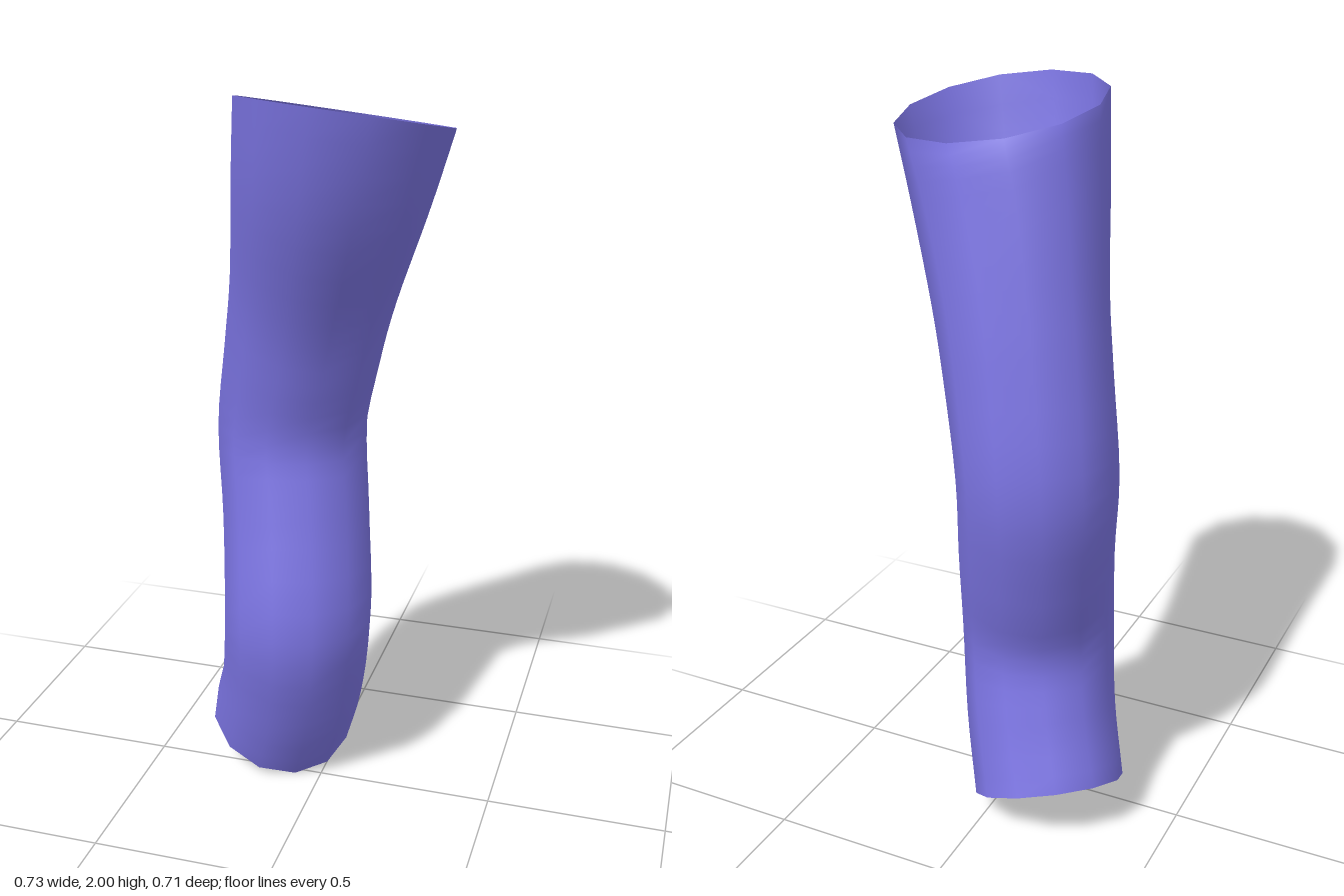
import * as THREE from 'three';

// Stations from bottom to top: centre, tilt of the ring normal (x, z slopes), radius
const STATIONS = [
  { c: [-0.165, 0.10, -0.14], tilt: [0.35, 0.41], r: 0.21 },
  { c: [-0.105, 0.30, -0.068], tilt: [0.22, 0.28], r: 0.21 },
  { c: [-0.072, 0.53, -0.018], tilt: [0.02, 0.02], r: 0.212 },
  { c: [-0.098, 0.80, -0.09], tilt: [-0.11, -0.25], r: 0.21 },
  { c: [-0.123, 1.05, -0.143], tilt: [0.03, 0.0], r: 0.212 },
  { c: [-0.08, 1.30, -0.105], tilt: [0.19, 0.26], r: 0.217 },
  { c: [-0.033, 1.50, -0.055], tilt: [0.26, 0.32], r: 0.227 },
  { c: [0.035, 1.75, 0.03], tilt: [0.22, 0.15], r: 0.255 },
  { c: [0.087, 1.945, 0.085], tilt: [0.10, -0.17], r: 0.277 },
];
const SIDES = 12;
const RINGS = 32;

// Smooth curve through one vector per station
const through = (pick) =>
  new THREE.CatmullRomCurve3(STATIONS.map((s) => new THREE.Vector3(...pick(s))), false, 'catmullrom', 0.5);

function bentTubeGeometry() {
  const centres = through((s) => s.c);
  const frames = through((s) => [s.tilt[0], s.r, s.tilt[1]]);
  const positions = [];
  const index = [];

  for (let i = 0; i <= RINGS; i++) {
    const centre = centres.getPoint(i / RINGS);
    const frame = frames.getPoint(i / RINGS);
    // Ring plane axes, kept aligned with x so the tube does not twist
    const normal = new THREE.Vector3(frame.x, 1, frame.z).normalize();
    const u = new THREE.Vector3(1, 0, 0).projectOnPlane(normal).normalize();
    const v = new THREE.Vector3().crossVectors(u, normal);
    for (let j = 0; j < SIDES; j++) {
      const angle = (j / SIDES) * Math.PI * 2 + 0.05;
      const p = centre.clone()
        .addScaledVector(u, frame.y * Math.cos(angle))
        .addScaledVector(v, frame.y * Math.sin(angle));
      positions.push(p.x, p.y, p.z);
      if (i < RINGS) {
        const a = i * SIDES + j;
        const b = i * SIDES + ((j + 1) % SIDES);
        index.push(a, a + SIDES, b, b, a + SIDES, b + SIDES);
      }
    }
  }

  const geometry = new THREE.BufferGeometry();
  geometry.setAttribute('position', new THREE.Float32BufferAttribute(positions, 3));
  geometry.setIndex(index);
  geometry.computeVertexNormals();
  return geometry;
}

export function createModel() {
  const group = new THREE.Group();
  group.name = 'bentSleeve';

  // Open-ended bent tube, flaring towards the top
  const material = new THREE.MeshStandardMaterial({ color: 0x7a73e0, side: THREE.DoubleSide });
  const sleeve = new THREE.Mesh(bentTubeGeometry(), material);
  sleeve.name = 'sleeveTube';
  group.add(sleeve);
  return group;
}
